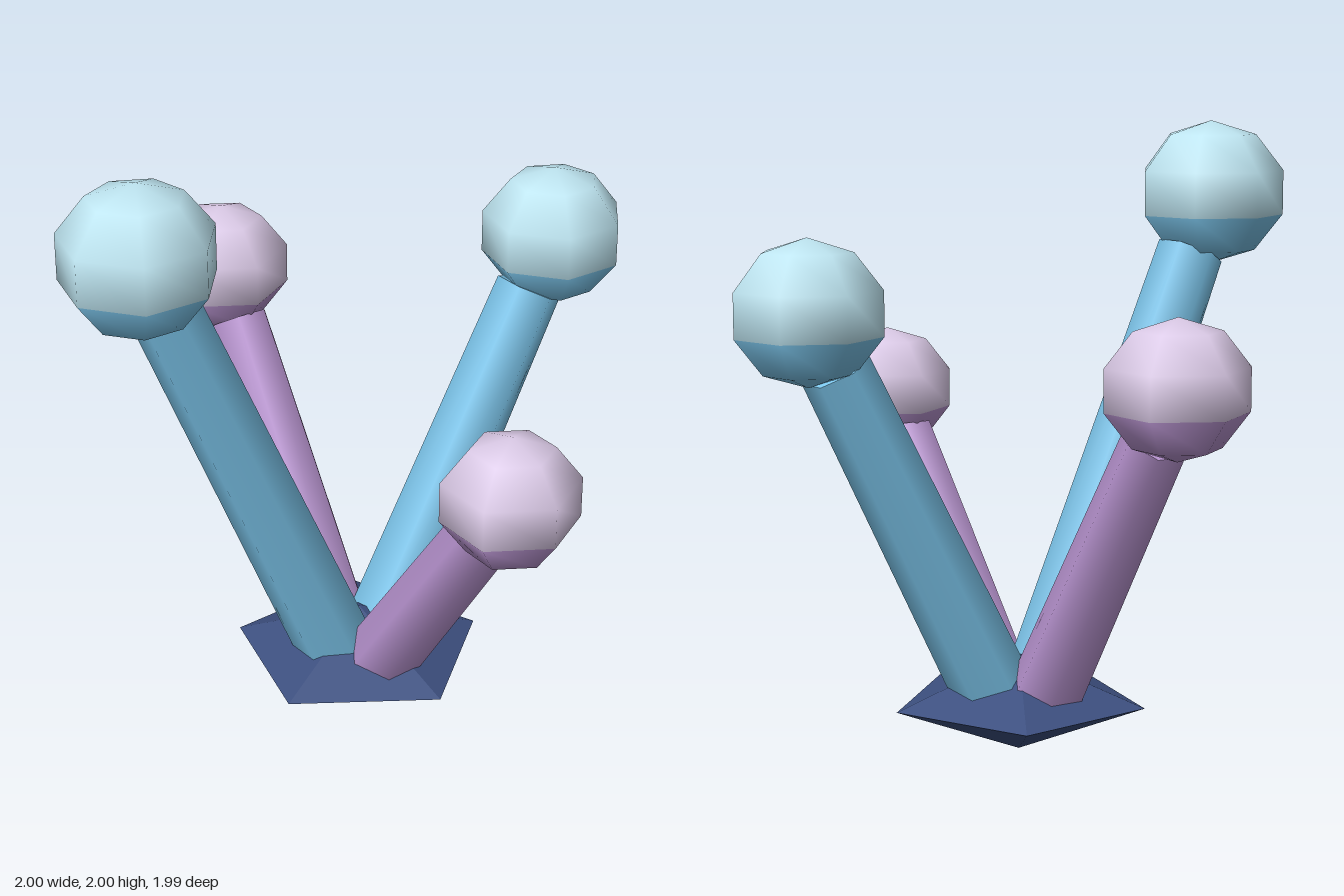
import * as THREE from 'three';

const mat = (color, flatShading = false) => new THREE.MeshStandardMaterial({ color, flatShading });

export function createModel() {
  const model = new THREE.Group();
  const add = (name, geometry, material, parent = model) => {
    const mesh = new THREE.Mesh(geometry, material);
    mesh.name = name;
    parent.add(mesh);
    return mesh;
  };

  const blue = { stem: mat(0x7cc6ec), cap: mat(0xbfe6f2) };
  const violet = { stem: mat(0xba95d2), cap: mat(0xdccbe8) };

  // Five-sided double pyramid at the root
  const rim = 0.16, baseRadius = 0.415;
  const profile = [[0, 0], [baseRadius, rim], [0, 0.315]].map(([x, y]) => new THREE.Vector2(x, y));
  const base = add('base', new THREE.LatheGeometry(profile, 5), mat(0x3d5080, true));
  base.rotation.y = THREE.MathUtils.degToRad(4);
  base.position.x = 0.01;

  // Tapered stem from the root to a faceted ball with a pale cap
  const split = 0.6 * Math.PI;
  function addStalk(name, center, ballRadius, sides, stemRadius, colors, turn) {
    const stalk = new THREE.Group();
    stalk.name = name;
    model.add(stalk);

    const tip = new THREE.Vector3(...center);
    const dir = tip.clone().normalize();
    const start = dir.clone().multiplyScalar(rim / dir.y);
    const end = tip.clone().addScaledVector(dir, -ballRadius * 0.82);
    const stem = add('stem',
      new THREE.CylinderGeometry(stemRadius - 0.02, stemRadius, start.distanceTo(end), 6, 1, false, turn),
      colors.stem, stalk);
    stem.position.addVectors(start, end).multiplyScalar(0.5);
    stem.quaternion.setFromUnitVectors(new THREE.Vector3(0, 1, 0), dir);

    const ball = new THREE.Group();
    ball.name = 'ball';
    ball.position.copy(tip);
    ball.scale.y = 0.935;
    stalk.add(ball);
    const part = (rows, from, length) =>
      new THREE.SphereGeometry(ballRadius, sides, rows, -Math.PI / 2, 2 * Math.PI, from, length);
    add('ballCap', part(3, 0, split), colors.cap, ball);
    add('ballUnderside', part(2, split, Math.PI - split), colors.stem, ball);
  }

  addStalk('rightStalk', [-0.767, 1.765, 0], 0.251, 7, 0.13, blue, 0);
  addStalk('leftStalk', [0.777, 1.465, 0], 0.24, 7, 0.13, blue, 0);
  addStalk('frontStalk', [0, 1.085, 0.785], 0.222, 6, 0.122, violet, Math.PI / 2);
  addStalk('backStalk', [0, 1.262, -0.782], 0.228, 6, 0.122, violet, Math.PI / 2);

  return model;
}
